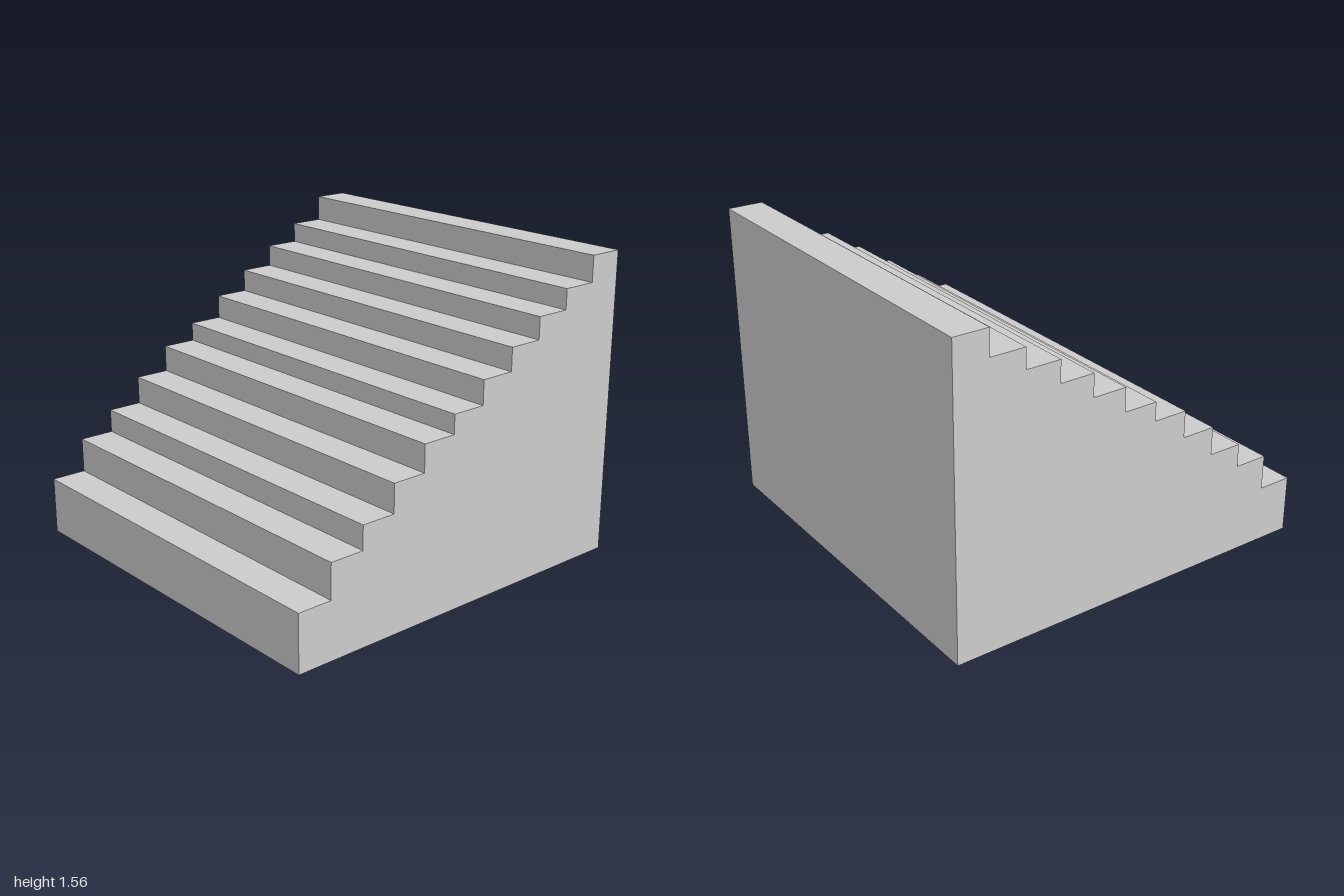
import * as THREE from 'three';

// Height of each tread, from the front step to the top landing
const TREADS = [0.293, 0.472, 0.593, 0.738, 0.876, 0.973, 1.096, 1.213, 1.325, 1.428, 1.56];
const WIDTH = 2, DEPTH = 2;

export function createModel() {
  const group = new THREE.Group();
  group.name = 'staircase';

  // Side profile: shape x becomes model z, the front is at +1
  const run = DEPTH / TREADS.length;
  const profile = new THREE.Shape();
  profile.moveTo(-DEPTH / 2, 0);
  profile.lineTo(DEPTH / 2, 0);
  TREADS.forEach((y, i) => {
    const z = DEPTH / 2 - i * run;
    profile.lineTo(z, y); // riser
    profile.lineTo(z - run, y); // tread
  });
  profile.closePath();

  // Solid flight of steps across the full width
  const geometry = new THREE.ExtrudeGeometry(profile, { depth: WIDTH, bevelEnabled: false });
  geometry.rotateY(-Math.PI / 2);
  geometry.translate(WIDTH / 2, 0, 0);

  const steps = new THREE.Mesh(
    geometry,
    new THREE.MeshStandardMaterial({ color: 0xcccccc, flatShading: true })
  );
  steps.name = 'steps';
  group.add(steps);
  return group;
}
